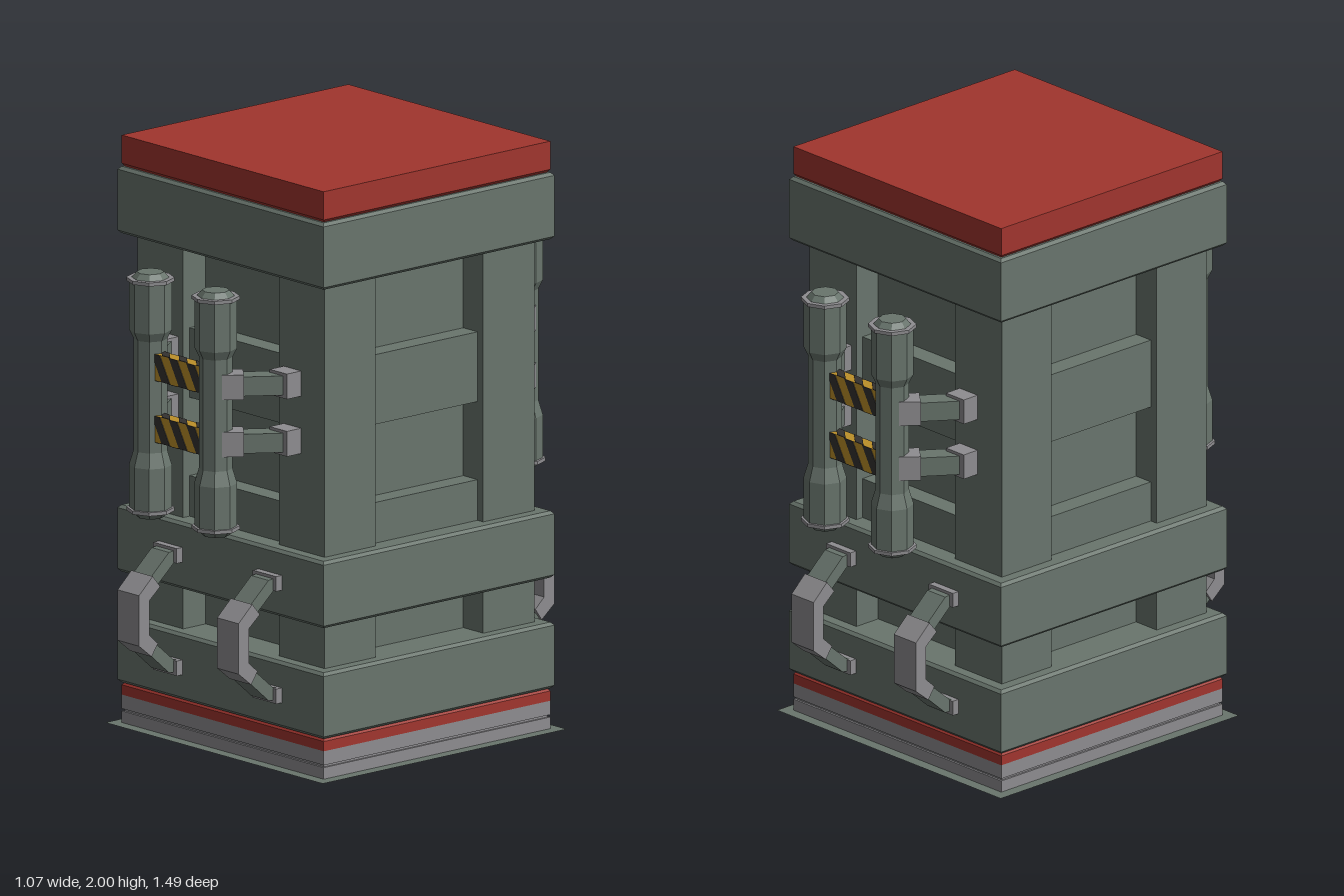
import * as THREE from 'three';

const green = new THREE.MeshStandardMaterial({ name: 'greyGreen', color: 0x69756d });
const red = new THREE.MeshStandardMaterial({ name: 'red', color: 0xa1352e });
const grey = new THREE.MeshStandardMaterial({ name: 'grey', color: 0x8e8d90 });
const yellow = new THREE.MeshStandardMaterial({ name: 'yellow', color: 0xbd9029 });
const dark = new THREE.MeshStandardMaterial({ name: 'darkStripe', color: 0x343230 });
const floorGreen = new THREE.MeshStandardMaterial({ name: 'floorGreen', color: 0x69756d, side: THREE.DoubleSide });

function add(parent, name, geometry, material, x = 0, y = 0, z = 0) {
  const mesh = new THREE.Mesh(geometry, material);
  mesh.name = name;
  mesh.position.set(x, y, z);
  parent.add(mesh);
  return mesh;
}

// Box given by its size and centre
function box(parent, name, material, w, h, d, x, y, z) {
  return add(parent, name, new THREE.BoxGeometry(w, h, d), material, x, y, z);
}

function flat(geometry) {
  const g = geometry.toNonIndexed();
  g.computeVertexNormals();
  return g;
}

// Square slab whose half width differs at the bottom and top
function slab(parent, name, material, bottom, top, y0, y1) {
  const g = new THREE.CylinderGeometry(top * Math.SQRT2, bottom * Math.SQRT2, y1 - y0, 4);
  g.rotateY(Math.PI / 4);
  return add(parent, name, flat(g), material, 0, (y0 + y1) / 2, 0);
}

// Square band with chamfered edges
function band(parent, name, material, half, y0, y1, b) {
  const s = half - b;
  const shape = new THREE.Shape([[-s, -s], [s, -s], [s, s], [-s, s]].map(p => new THREE.Vector2(...p)));
  const g = new THREE.ExtrudeGeometry(shape, {
    depth: y1 - y0 - 2 * b, bevelSize: b, bevelThickness: b, bevelSegments: 1,
  });
  g.rotateX(-Math.PI / 2);
  return add(parent, name, g, material, 0, y0 + b, 0);
}

// Outline in (z, y) extruded across x, centred on x = 0
function sideExtrude(points, width) {
  const shape = new THREE.Shape(points.map(p => new THREE.Vector2(...p)));
  const g = new THREE.ExtrudeGeometry(shape, { depth: width, bevelEnabled: false });
  g.translate(0, 0, -width / 2);
  g.rotateY(-Math.PI / 2);
  return g;
}

// Beam running between two points
function beam(parent, name, material, a, b, w, h) {
  const from = new THREE.Vector3(...a), to = new THREE.Vector3(...b);
  const mid = from.clone().add(to).multiplyScalar(0.5);
  const mesh = box(parent, name, material, w, h, from.distanceTo(to), mid.x, mid.y, mid.z);
  mesh.lookAt(to);
  return mesh;
}

function canister() {
  const profile = [
    [0, 0.81], [0.045, 0.81], [0.06, 0.828], [0.068, 0.84], [0.07, 0.84], [0.07, 0.985],
    [0.055, 1.035], [0.055, 1.41], [0.07, 1.44], [0.07, 1.605], [0.06, 1.618], [0.045, 1.635], [0, 1.635],
  ].map(p => new THREE.Vector2(...p));
  const group = new THREE.Group();
  group.name = 'canister';
  add(group, 'canisterBody', flat(new THREE.LatheGeometry(profile, 8)), green);
  for (const y of [0.836, 1.61])
    add(group, 'canisterFlange', flat(new THREE.CylinderGeometry(0.079, 0.079, 0.012, 8)), grey, 0, y, 0);
  return group;
}

// Crossbar with diagonal hazard stripes on its four long faces
function hazardBar(y) {
  const group = new THREE.Group();
  group.name = 'hazardBar';
  const h = 0.088, d = 0.042;
  box(group, 'hazardBarCore', yellow, 0.24, h, d, 0, 0, 0);
  const stripe = (height) => {
    const k = height / 2;
    const shape = new THREE.Shape([[-0.005, k], [-0.045, k], [0.005, -k], [0.045, -k]]
      .map(p => new THREE.Vector2(...p)));
    return new THREE.ExtrudeGeometry(shape, { depth: 0.002, bevelEnabled: false });
  };
  for (let side = 0; side < 4; side++) {
    const onEdge = side % 2 === 1;
    for (const x of [-0.085, 0, 0.085]) {
      const g = stripe(onEdge ? d : h);
      g.translate(x, 0, (onEdge ? h : d) / 2);
      g.rotateX(side * Math.PI / 2);
      add(group, 'hazardStripe', g, dark);
    }
  }
  group.position.set(0, y, 0.668);
  return group;
}

function handle(x) {
  const group = new THREE.Group();
  group.name = 'handle';
  const grip = [[0.63, 0.595], [0.69, 0.54], [0.69, 0.37], [0.635, 0.325],
    [0.607, 0.365], [0.645, 0.4], [0.645, 0.515], [0.597, 0.555]];
  add(group, 'handleGrip', sideExtrude(grip, 0.105), grey);
  const upper = [[0.5, 0.665], [0.55, 0.66], [0.635, 0.585], [0.605, 0.555], [0.53, 0.62], [0.5, 0.625]];
  const lower = upper.map(([z, y]) => [z, 0.915 - y]).reverse();
  add(group, 'handleUpperArm', sideExtrude(upper, 0.085), green);
  add(group, 'handleLowerArm', sideExtrude(lower, 0.085), green);
  for (const y of [0.647, 0.268])
    box(group, 'handleMount', grey, 0.115, 0.05, 0.03, 0, y, 0.515);
  group.position.x = x;
  return group;
}

// Canisters, brackets and handles carried by one face
function equipment(name) {
  const group = new THREE.Group();
  group.name = name;
  for (const s of [-1, 1]) {
    const can = canister();
    can.position.set(s * 0.16, 0, 0.668);
    group.add(can, handle(s * 0.244));
    for (const y of [1.318, 1.125]) {
      box(group, 'bracketPad', grey, 0.085, 0.085, 0.065, s * 0.3, y, 0.487);
      beam(group, 'bracketArm', green, [s * 0.3, y, 0.49], [s * 0.2, y, 0.63], 0.07, 0.065);
      beam(group, 'bracketClamp', grey, [s * 0.225, y, 0.605], [s * 0.18, y, 0.66], 0.08, 0.083);
    }
  }
  group.add(hazardBar(1.325), hazardBar(1.117));
  return group;
}

export function createModel() {
  const model = new THREE.Group();
  model.name = 'container';

  // Base
  slab(model, 'foot', green, 0.355, 0.37, 0, 0.02);
  const plate = new THREE.PlaneGeometry(1.066, 1.066);
  plate.rotateX(Math.PI / 2);
  add(model, 'floorPlate', plate, floorGreen, 0, 0.02, 0);
  slab(model, 'baseLower', grey, 0.495, 0.495, 0.021, 0.06);
  slab(model, 'baseGroove', grey, 0.488, 0.488, 0.06, 0.068);
  slab(model, 'baseUpper', grey, 0.495, 0.495, 0.068, 0.115);
  slab(model, 'lowerRedSlab', red, 0.495, 0.495, 0.115, 0.148);
  slab(model, 'lowerRedEdge', red, 0.495, 0.485, 0.148, 0.16);

  // Core and corner pillars
  slab(model, 'core', green, 0.36, 0.36, 0.15, 1.85);
  for (const x of [-1, 1])
    for (const z of [-1, 1])
      box(model, 'cornerPillar', green, 0.223, 1.7, 0.223, x * 0.3465, 1, z * 0.3465);

  // Horizontal bars in the recesses of all four sides
  slab(model, 'recessBarUpper', green, 0.43, 0.43, 1.155, 1.39);
  slab(model, 'recessBarLower', green, 0.43, 0.43, 0.7, 0.892);

  // Bands around the body
  for (const [y0, y1] of [[0.157, 0.38], [0.53, 0.755], [1.67, 1.895]])
    band(model, 'band', green, 0.505, y0, y1, 0.01);

  // Lid
  slab(model, 'lidEdge', red, 0.483, 0.495, 1.89, 1.905);
  slab(model, 'lid', red, 0.495, 0.495, 1.905, 2);

  // Equipment on the front and back
  const front = equipment('frontEquipment');
  const back = equipment('backEquipment');
  back.rotation.y = Math.PI;
  model.add(front, back);
  return model;
}
